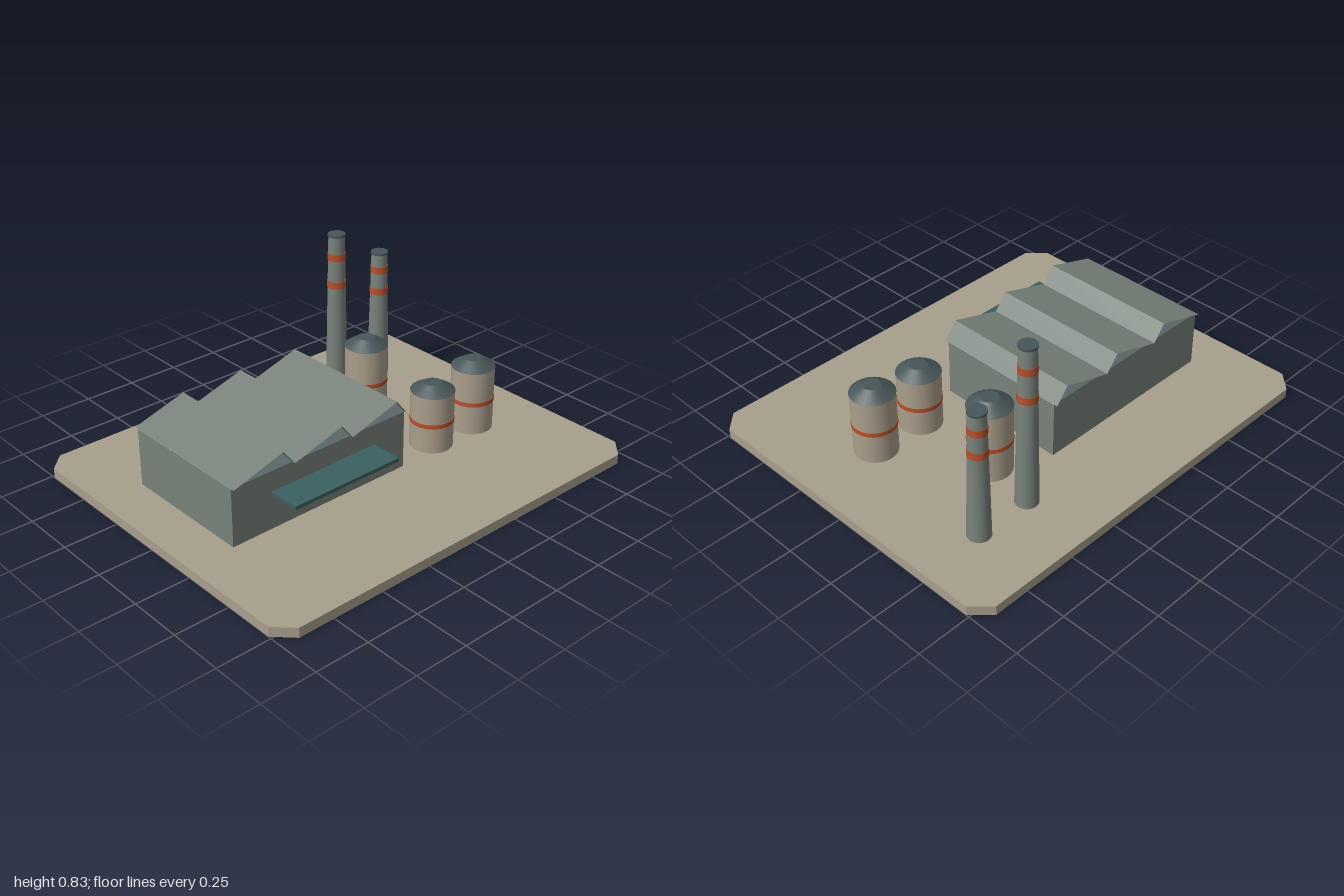
import * as THREE from 'three';

const mat = (name, color, side = THREE.FrontSide) => {
  const m = new THREE.MeshStandardMaterial({ color, side });
  m.name = name;
  return m;
};

export function createModel() {
  const concrete = mat('concrete', 0xa89f8c);
  const tankPaint = mat('tankPaint', 0xaa9e8b);
  const wallGrey = mat('wallGrey', 0x78827b);
  const roofGrey = mat('roofGrey', 0x78827b, THREE.DoubleSide);
  const glass = mat('paleGlass', 0x9db3b5);
  const teal = mat('canopyTeal', 0x3a6060);
  const slate = mat('slate', 0x485659);
  const orange = mat('bandOrange', 0xb5512b);

  const model = new THREE.Group();
  model.name = 'factory';
  const GROUND = 0.045;

  function add(parent, name, geometry, material, x = 0, y = 0, z = 0) {
    const mesh = new THREE.Mesh(geometry, material);
    mesh.name = name;
    mesh.position.set(x, y, z);
    parent.add(mesh);
    return mesh;
  }
  const polygon = (pts) => new THREE.Shape(pts.map(([x, y]) => new THREE.Vector2(x, y)));

  // Ground slab with cut corners
  const W = 1, D = 0.815, C = 0.08;
  const slab = new THREE.ExtrudeGeometry(polygon([
    [-W + C, -D], [W - C, -D], [W, -D + C], [W, D - C],
    [W - C, D], [-W + C, D], [-W, D - C], [-W, -D + C],
  ]), { depth: GROUND, bevelEnabled: false }).rotateX(-Math.PI / 2);
  add(model, 'groundSlab', slab, concrete);

  // Hall walls
  const hall = new THREE.Group();
  hall.name = 'hall';
  model.add(hall);
  const x0 = -0.785, width = 0.93, eave = 0.315, ridge = 0.39;
  const midZ = -0.0625, halfZ = 0.315, overhang = 0.018;
  add(hall, 'hallWalls', new THREE.BoxGeometry(width, eave - GROUND, halfZ * 2), wallGrey,
    x0 + width / 2, (eave + GROUND) / 2, midZ);

  // Saw-tooth roof: glazed gables below an overhanging folded sheet
  const bay = width / 3, peak = 0.25;
  for (let i = 0; i < 3; i++) {
    const left = x0 + i * bay;
    const gable = new THREE.ExtrudeGeometry(
      polygon([[0, 0], [bay, 0], [peak, ridge - eave - 0.002]]),
      { depth: halfZ * 2, bevelEnabled: false });
    add(hall, 'gable', gable, glass, left, eave, midZ - halfZ);

    const slopes = [[0, eave, peak, ridge], [peak, ridge, bay, eave]];
    for (const [xa, ya, xb, yb] of slopes) {
      const length = Math.hypot(xb - xa, yb - ya);
      const sheet = new THREE.PlaneGeometry(length, 2 * (halfZ + overhang)).rotateX(-Math.PI / 2);
      add(hall, 'roofSlope', sheet, roofGrey, left + (xa + xb) / 2, (ya + yb) / 2 + 0.001, midZ)
        .rotation.z = Math.atan2(yb - ya, xb - xa);
    }
  }

  // Loading canopy
  add(hall, 'canopy', new THREE.BoxGeometry(0.56, 0.016, 0.155), teal, -0.305, 0.212, 0.3235);

  // Storage tanks with a painted band and a truncated cone lid
  function addTank(x, z, height, lidHeight) {
    const tank = new THREE.Group();
    tank.name = 'storageTank';
    tank.position.set(x, GROUND, z);
    model.add(tank);
    const r = 0.098;
    add(tank, 'tankBody', new THREE.CylinderGeometry(r, r, height, 24), tankPaint, 0, height / 2);
    add(tank, 'tankBand', new THREE.CylinderGeometry(r + 0.002, r + 0.002, 0.02, 24), orange, 0, height * 0.49);
    add(tank, 'tankLid', new THREE.CylinderGeometry(0.04, r + 0.002, lidHeight, 24), slate, 0, height + lidHeight / 2);
  }
  addTank(0.38, -0.24, 0.33, 0.04);
  addTank(0.38, 0.19, 0.27, 0.036);
  addTank(0.635, 0.19, 0.303, 0.037);

  // Tapered chimneys with two bands and a dark mouth
  function addChimney(x, z, height) {
    const chimney = new THREE.Group();
    chimney.name = 'chimney';
    chimney.position.set(x, GROUND, z);
    model.add(chimney);
    const bottom = 0.052, top = 0.038;
    const radiusAt = (y) => bottom + (top - bottom) * (y / height);
    add(chimney, 'chimneyStack', new THREE.CylinderGeometry(top, bottom, height - 0.005, 20), wallGrey, 0, (height - 0.005) / 2);
    for (const t of [0.69, 0.862]) {
      const y = t * height, h = 0.034;
      add(chimney, 'chimneyBand', new THREE.CylinderGeometry(
        radiusAt(y + h / 2) + 0.002, radiusAt(y - h / 2) + 0.002, h, 20), orange, 0, y);
    }
    add(chimney, 'chimneyRim', new THREE.CylinderGeometry(top + 0.003, top + 0.003, 0.01, 20), slate, 0, height - 0.005);
  }
  addChimney(0.425, -0.495, 0.785);
  addChimney(0.695, -0.495, 0.625);

  return model;
}
